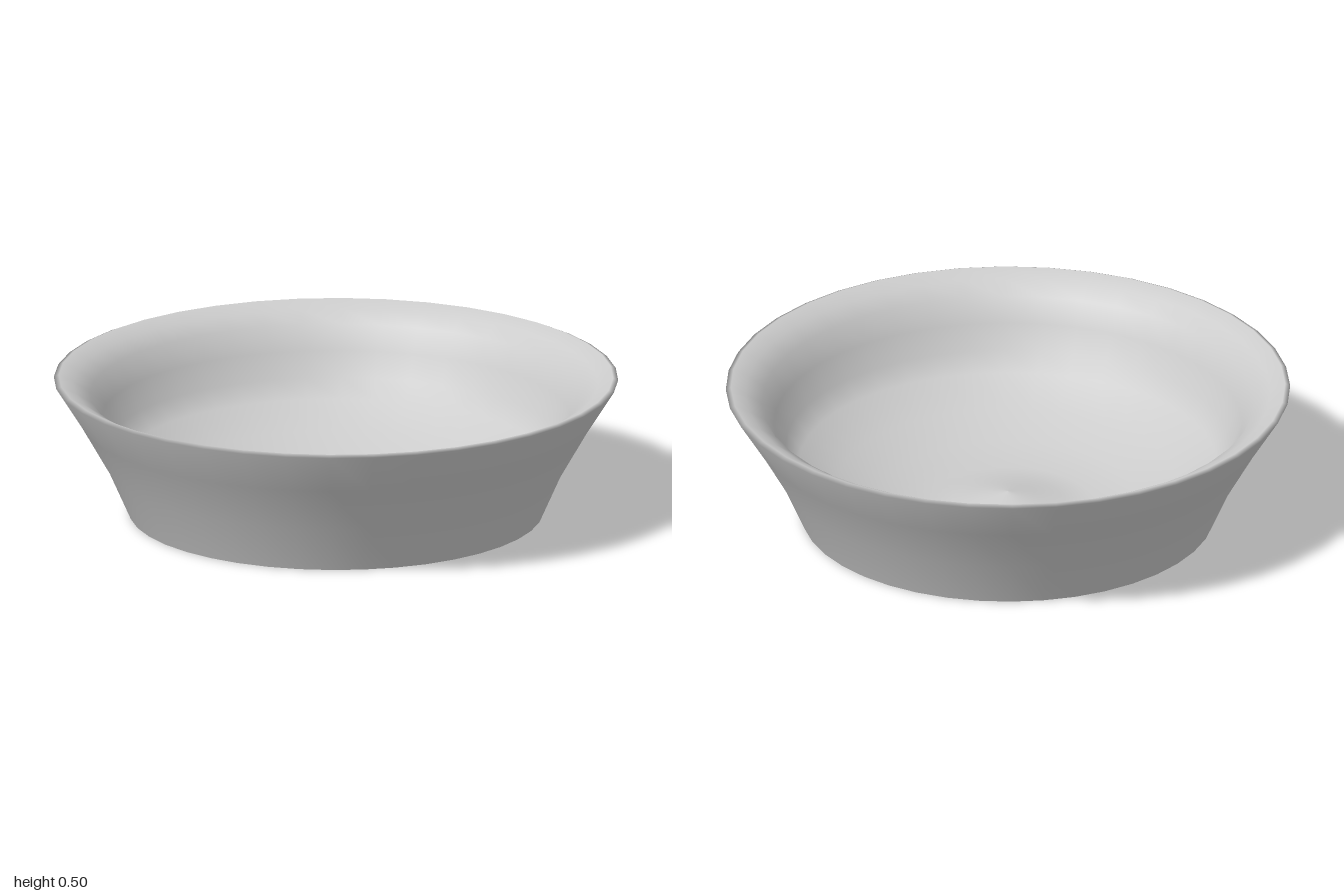
import * as THREE from 'three';

export function createModel() {
  const group = new THREE.Group();
  group.name = 'dish';
  const material = new THREE.MeshStandardMaterial({ color: 0xcccccc, side: THREE.DoubleSide });

  // One open profile: foot, flared outer wall, rim, inner wall, rounded floor with raised centre
  const profile = [
    [0.733, 0], [0.808, 0.17], [0.905, 0.34], [1, 0.491], [0.982, 0.499],
    [0.93, 0.473], [0.872, 0.435], [0.83, 0.35], [0.79, 0.262], [0.74, 0.198],
    [0.6, 0.122], [0.45, 0.064], [0.3, 0.036], [0.2, 0.042], [0.1, 0.065], [0, 0.085],
  ].map(([r, y]) => new THREE.Vector2(r, y));

  const bowl = new THREE.Mesh(new THREE.LatheGeometry(profile, 40), material);
  bowl.name = 'bowl';
  group.add(bowl);
  return group;
}
